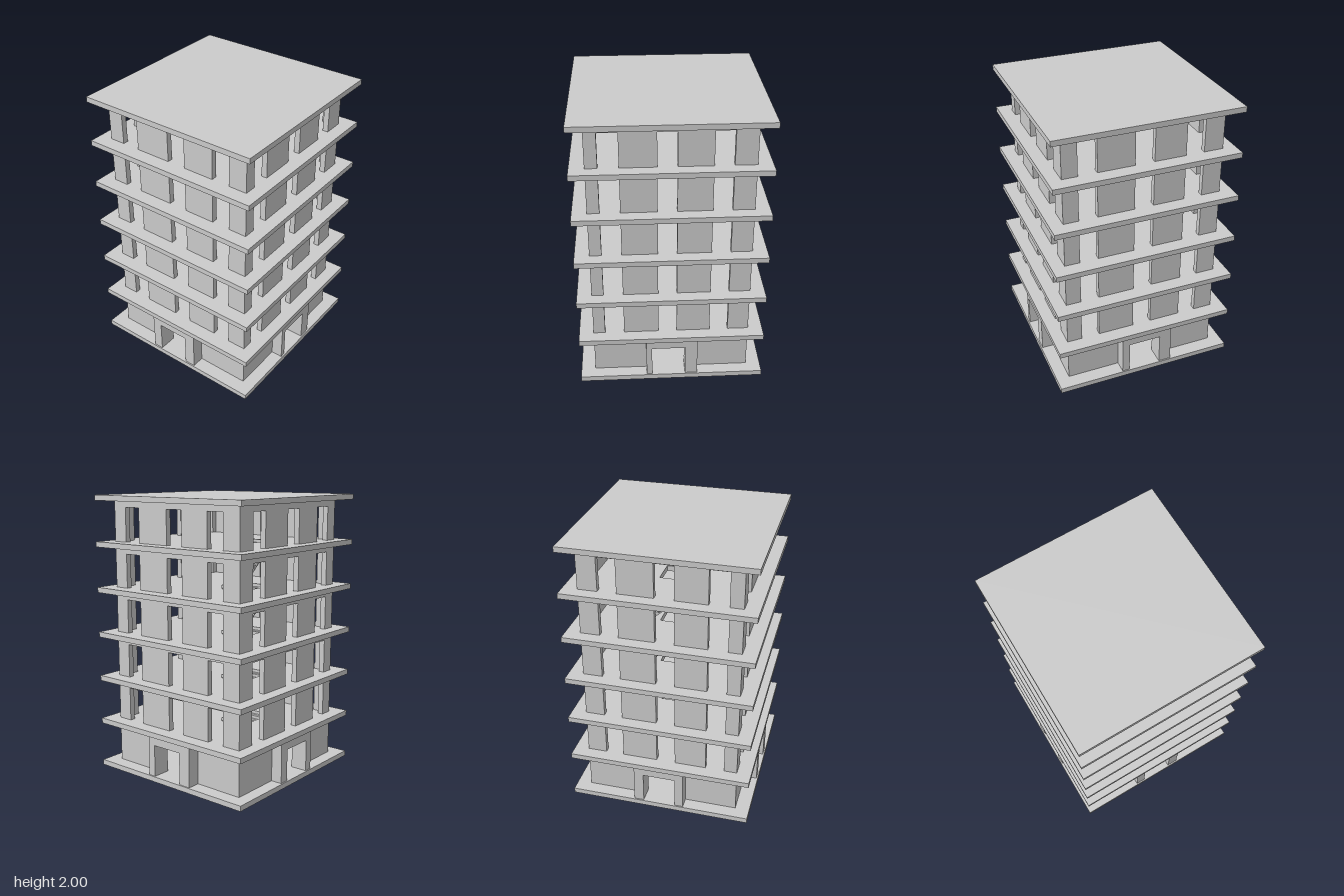
import * as THREE from 'three';

const STOREY = 0.327, SLAB = 0.038, HALF = 0.655, FLOORS = 6;
const WALL = 0.04, WALL_H = STOREY - SLAB;
const X = 0.553, Z = 0.563, PORCH = 0.645; // outer faces of walls and porches
const WINDOW_H = 0.243, DOOR_H = 0.23;
const STEPS = 12, STAIR_BOTTOM = 0.155, STAIR_RUN = 0.38;
const STAIR_Z = -0.165, STAIR_WIDTH = 0.17;

const material = new THREE.MeshStandardMaterial({ color: 0xcccccc });

function mesh(geometry, name, parent) {
  const m = new THREE.Mesh(geometry, material);
  m.name = name;
  parent.add(m);
  return m;
}

// Upright panel from u0 to u1 with full openings standing on its base line
function panelGeometry(u0, u1, openings, openingHeight, depth) {
  const s = new THREE.Shape();
  s.moveTo(u0, 0);
  for (const [a, b] of openings) {
    s.lineTo(a, 0);
    s.lineTo(a, openingHeight);
    s.lineTo(b, openingHeight);
    s.lineTo(b, 0);
  }
  s.lineTo(u1, 0);
  s.lineTo(u1, WALL_H);
  s.lineTo(u0, WALL_H);
  s.closePath();
  return new THREE.ExtrudeGeometry(s, { depth, bevelEnabled: false });
}

// Panel placed on one side; inner and outer are distances from the centre
function sidePanel(side, inner, outer, span, openings, height, name, parent) {
  const m = mesh(panelGeometry(span[0], span[1], openings, height, outer - inner), name, parent);
  if (side === 'front') m.position.z = inner;
  if (side === 'back') m.position.z = -outer;
  if (side === 'left' || side === 'right') {
    m.rotation.y = -Math.PI / 2;
    m.position.x = side === 'left' ? outer : -inner;
  }
}

const windows = {
  front: [[-0.47, -0.335], [-0.09, 0.04], [0.275, 0.405]],
  back: [[-0.46, -0.325], [-0.1, 0.034], [0.285, 0.415]],
  left: [[-0.425, -0.295], [-0.07, 0.065], [0.325, 0.455]],
  right: [[-0.45, -0.32], [-0.06, 0.075], [0.3, 0.43]],
};
const doors = {
  front: [-0.14, 0.097],
  back: [-0.12, 0.115],
  left: [-0.11, 0.125],
  right: [-0.13, 0.1],
};

function createWalls(ground) {
  const g = new THREE.Group();
  g.name = ground ? 'groundFloorWalls' : 'upperFloorWalls';
  for (const side of ['front', 'back', 'left', 'right']) {
    const onX = side === 'left' || side === 'right';
    const outer = onX ? X : Z;
    const half = onX ? Z - WALL : X;
    const openings = ground ? [doors[side]] : windows[side];
    sidePanel(side, outer - WALL, outer, [-half, half], openings,
      ground ? DOOR_H : WINDOW_H, side + 'Wall', g);
    // Projecting door surround
    if (ground) {
      const span = onX ? [-0.2, 0.18] : [-0.18, 0.185];
      sidePanel(side, outer, PORCH, span, openings, DOOR_H, side + 'Porch', g);
    }
  }
  return g;
}

// Floor plate, optionally pierced by the stairwell
function slabGeometry(withStairwell) {
  const s = new THREE.Shape([
    new THREE.Vector2(-HALF, -HALF), new THREE.Vector2(HALF, -HALF),
    new THREE.Vector2(HALF, HALF), new THREE.Vector2(-HALF, HALF),
  ]);
  if (withStairwell) {
    const x0 = STAIR_BOTTOM - STAIR_RUN, x1 = 0.08;
    const y0 = -STAIR_Z - STAIR_WIDTH / 2 - 0.01, y1 = -STAIR_Z + STAIR_WIDTH / 2 + 0.01;
    s.holes.push(new THREE.Path([
      new THREE.Vector2(x0, y0), new THREE.Vector2(x0, y1),
      new THREE.Vector2(x1, y1), new THREE.Vector2(x1, y0),
    ]));
  }
  const geo = new THREE.ExtrudeGeometry(s, { depth: SLAB, bevelEnabled: false });
  return geo.rotateX(-Math.PI / 2);
}

// Straight flight: block treads on a thin sloping plate
function createStairs() {
  const g = new THREE.Group();
  g.name = 'stairs';
  const rise = STOREY / STEPS, run = STAIR_RUN / STEPS;
  const tread = new THREE.BoxGeometry(0.024, 0.022, STAIR_WIDTH);
  for (let i = 0; i < STEPS; i++) {
    mesh(tread, 'tread', g).position.set(
      STAIR_BOTTOM - (i + 0.5) * run, (i + 0.5) * rise + 0.004, STAIR_Z);
  }
  const length = Math.hypot(STAIR_RUN, STOREY) - 0.03;
  const plate = mesh(new THREE.BoxGeometry(length, 0.008, STAIR_WIDTH), 'stairPlate', g);
  plate.position.set(STAIR_BOTTOM - STAIR_RUN / 2, STOREY / 2 - 0.009, STAIR_Z);
  plate.rotation.z = -Math.atan2(STOREY, STAIR_RUN);
  return g;
}

export function createModel() {
  const model = new THREE.Group();
  model.name = 'towerBlock';

  // Floor plates and roof
  const solid = slabGeometry(false), pierced = slabGeometry(true);
  for (let i = 0; i <= FLOORS; i++) {
    const name = i === 0 ? 'baseSlab' : i === FLOORS ? 'roofSlab' : 'floorSlab';
    const slab = mesh(i === 0 || i === FLOORS ? solid : pierced, name, model);
    slab.position.y = i * STOREY;
  }

  // Storeys, with stairs on all but the top one
  for (let i = 0; i < FLOORS; i++) {
    const storey = new THREE.Group();
    storey.name = 'storey' + (i + 1);
    storey.position.y = i * STOREY + SLAB;
    storey.add(createWalls(i === 0));
    if (i < FLOORS - 1) storey.add(createStairs());
    model.add(storey);
  }
  return model;
}
